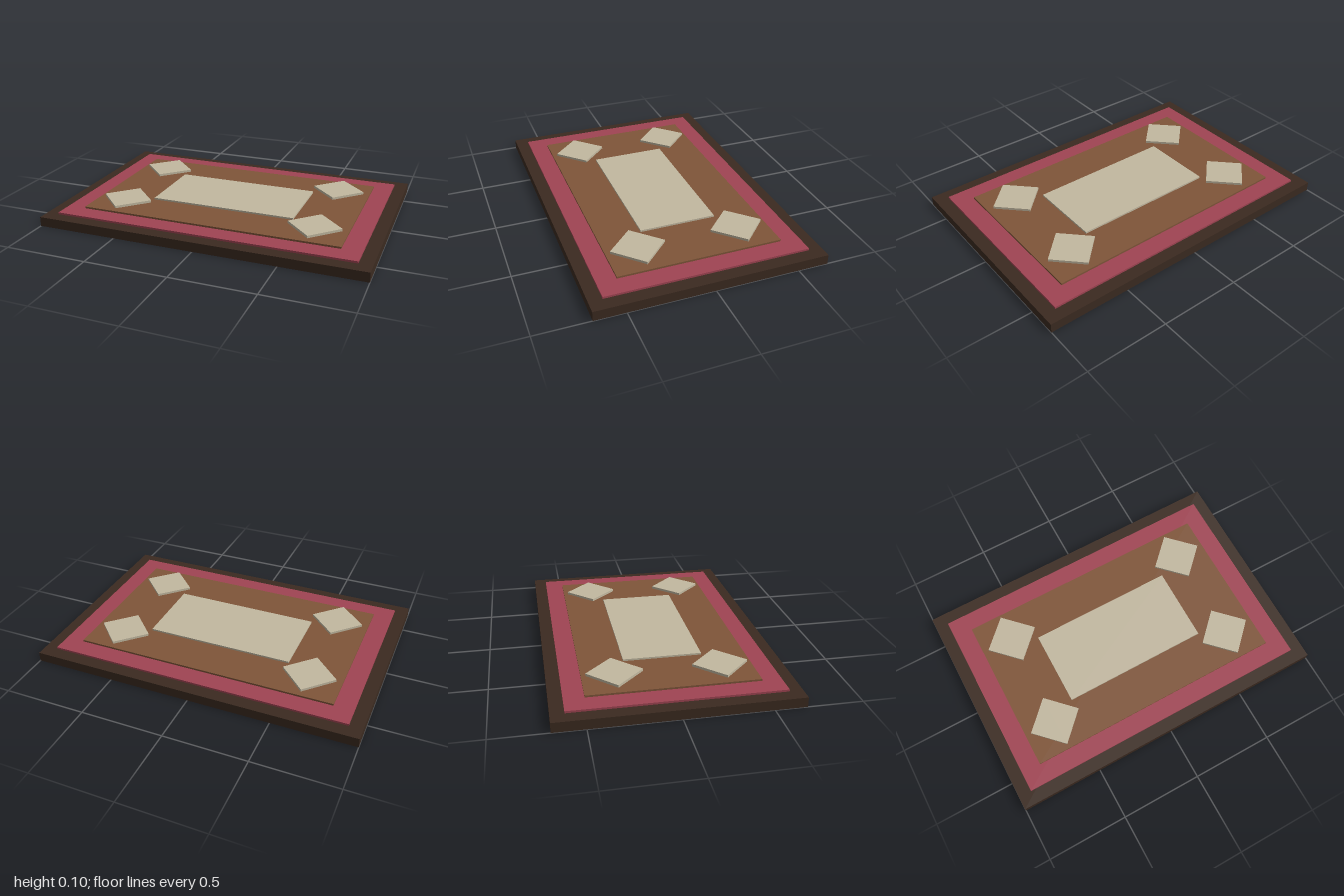
import * as THREE from 'three';

const flat = (name, color) => {
  const m = new THREE.MeshStandardMaterial({ color });
  m.name = name;
  return m;
};

export function createModel() {
  const group = new THREE.Group();
  group.name = 'layeredPanel';

  const darkWood = flat('darkWood', 0x3b2a20);
  const crimson = flat('crimson', 0xa04453);
  const brown = flat('brown', 0x7f5539);
  const cream = flat('cream', 0xc2b8a0);

  // Slab spanning heights y0 to y1
  const slab = (name, material, width, depth, y0, y1, x = 0, z = 0, turn = 0) => {
    const mesh = new THREE.Mesh(new THREE.BoxGeometry(width, y1 - y0, depth), material);
    mesh.name = name;
    mesh.position.set(x, (y0 + y1) / 2, z);
    mesh.rotation.y = turn;
    group.add(mesh);
  };

  // Stepped layers, from the base upward
  slab('base', darkWood, 2, 1.366, 0, 0.058);
  slab('border', crimson, 1.842, 1.21, 0.058, 0.07);
  slab('field', brown, 1.606, 0.98, 0.07, 0.081);
  slab('centrePanel', cream, 0.91, 0.464, 0.081, 0.092);

  // Diamond tiles set just clear of the field
  for (const sx of [-1, 1]) {
    for (const sz of [-1, 1]) {
      const name = `${sz > 0 ? 'front' : 'back'}${sx > 0 ? 'Left' : 'Right'}Diamond`;
      slab(name, cream, 0.229, 0.229, 0.089, 0.104, sx * 0.605, sz * 0.303, Math.PI / 4);
    }
  }

  return group;
}
